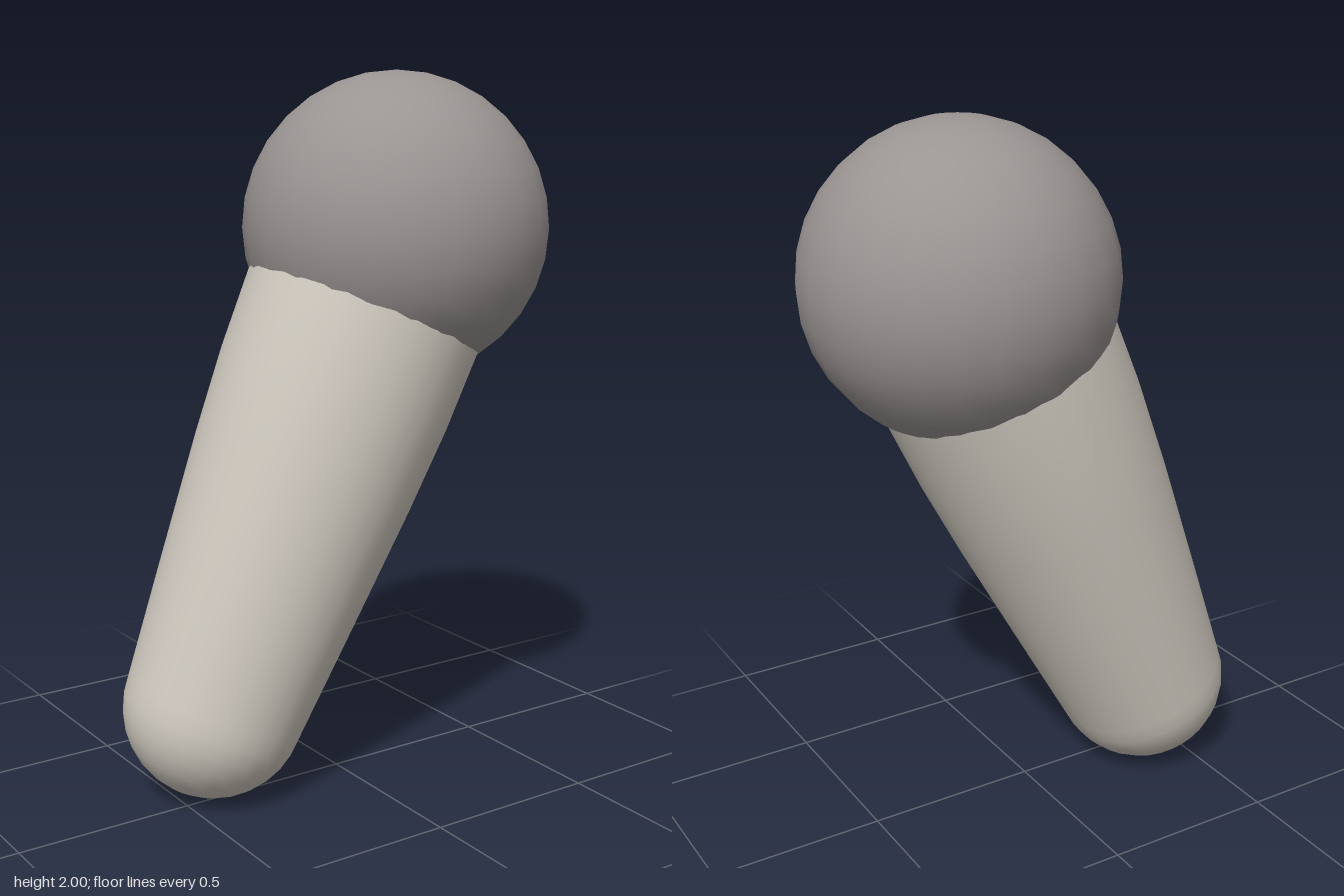
import * as THREE from 'three';

export function createModel() {
  const group = new THREE.Group();
  const darkGrey = new THREE.MeshStandardMaterial({ color: 0x9a9593 });
  darkGrey.name = 'darkGrey';
  const cream = new THREE.MeshStandardMaterial({ color: 0xcfc9bf });
  cream.name = 'cream';

  const headCentre = new THREE.Vector3(0.2, 1.57, 0);
  const footCentre = new THREE.Vector3(-0.383, 0.256, -0.045);

  // Ball at the upper end
  const head = new THREE.Mesh(new THREE.SphereGeometry(0.43, 24, 16), darkGrey);
  head.name = 'ballHead';
  head.position.copy(headCentre);
  group.add(head);

  // Tapered handle: round lower end, gently swelling towards the ball
  const r = 0.256;
  const profile = [];
  for (let i = 0; i <= 8; i++) {
    const a = (i / 8) * Math.PI / 2;
    profile.push(new THREE.Vector2(r * Math.sin(a), -r * Math.cos(a)));
  }
  for (const [radius, y] of [[0.284, 0.3], [0.32, 0.7], [0.337, 0.95], [0.343, 1.18], [0.34, 1.26], [0, 1.3]]) {
    profile.push(new THREE.Vector2(radius, y));
  }
  const handle = new THREE.Mesh(new THREE.LatheGeometry(profile, 32), cream);
  handle.name = 'handle';
  handle.position.copy(footCentre);
  const axis = headCentre.clone().sub(footCentre).normalize();
  handle.quaternion.setFromUnitVectors(new THREE.Vector3(0, 1, 0), axis);
  group.add(handle);

  return group;
}
